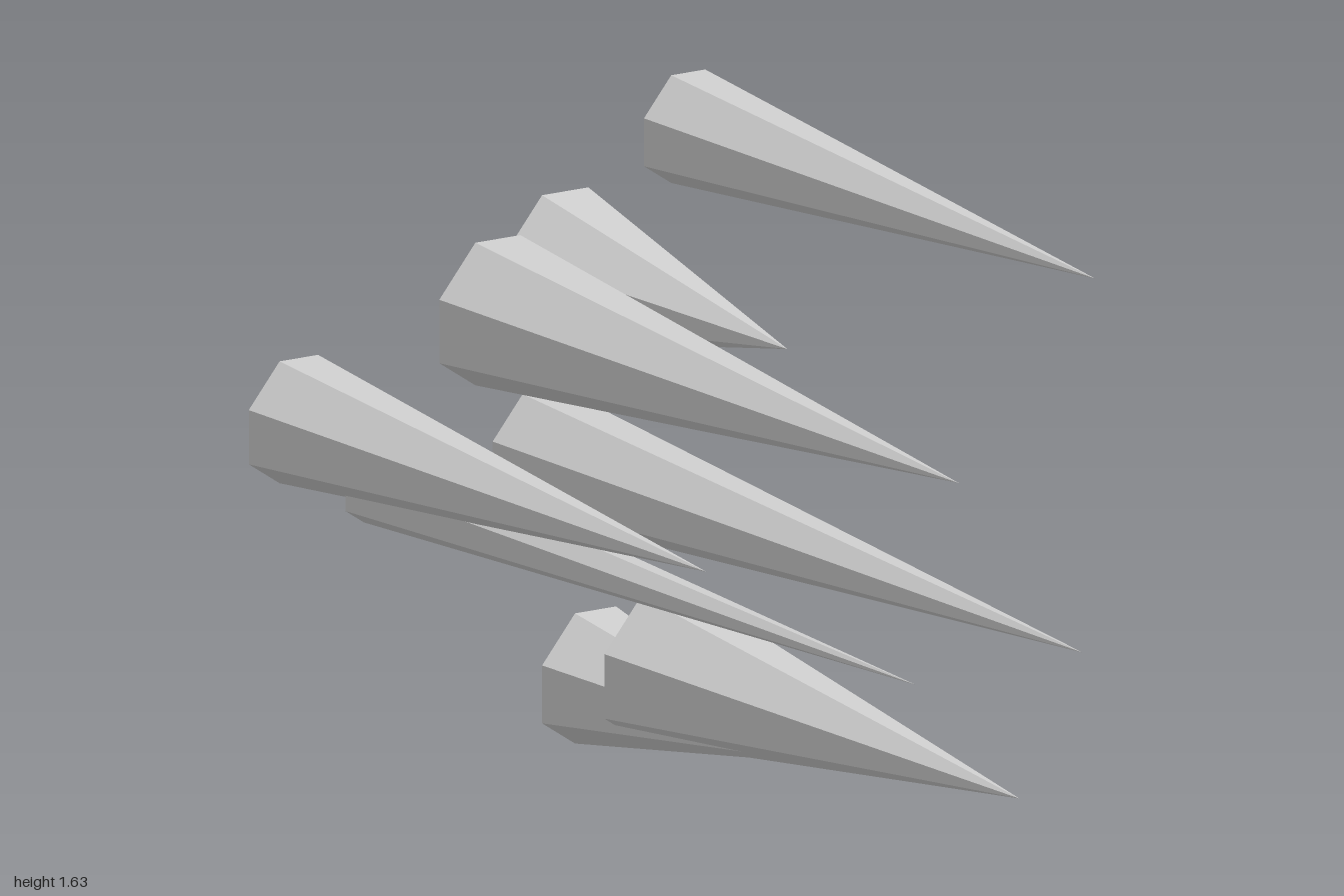
import * as THREE from 'three';

// Each spike: centre x, centre y, radius, base z, tip z
const SPIKES = {
  upperMiddleSpike: [-0.103, 1.355, 0.172, -0.665, 0.67],
  lowerMiddleSpike: [-0.08, 1.05, 0.143, -0.557, 1.0],
  rightSpike: [-0.645, 1.263, 0.147, -0.75, 0.43],
  thinRightSpike: [-0.602, 1.153, 0.089, -0.56, 0.985],
  topLeftSpike: [0.613, 1.51, 0.13, -0.745, 0.43],
  shortLeftSpike: [0.497, 1.148, 0.177, -1.0, -0.34],
  lowLeftSpike: [0.6, 0.229, 0.175, -0.81, 0.227],
  lowLeftBackSpike: [0.582, 0.157, 0.157, -0.985, -0.29],
};

export function createModel() {
  const group = new THREE.Group();
  group.name = 'flyingSpikes';

  const grey = new THREE.MeshStandardMaterial({ color: 0xcccccc });
  grey.name = 'lightGrey';
  grey.flatShading = true;

  // One seven-sided unit cone pointing forward, with a corner towards +x
  const cone = new THREE.ConeGeometry(1, 1, 7)
    .rotateX(Math.PI / 2)
    .rotateZ(Math.PI / 2);

  for (const [name, [x, y, radius, base, tip]] of Object.entries(SPIKES)) {
    const spike = new THREE.Mesh(cone, grey);
    spike.name = name;
    spike.scale.set(radius, radius, tip - base);
    spike.position.set(x, y, (base + tip) / 2);
    group.add(spike);
  }
  return group;
}
